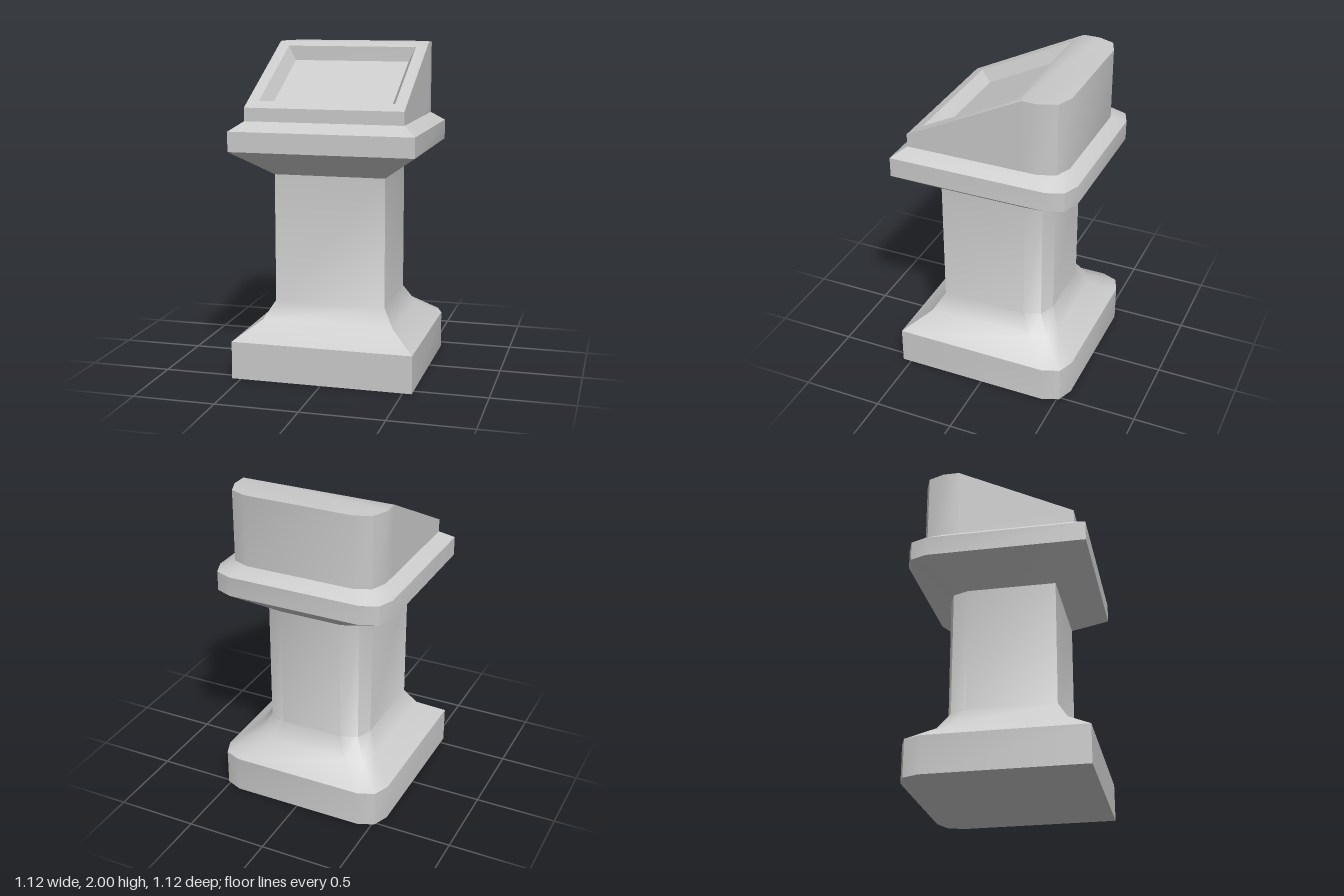
import * as THREE from 'three';
import { toCreasedNormals } from 'three/addons/utils/BufferGeometryUtils.js';

const material = new THREE.MeshStandardMaterial({ color: 0xcccccc });

// Square outline of half width h: sharp front corners, softened back corners
function outline(h, y) {
  const right = [[h, h], [h, -h + 0.14], [h - 0.04, -h + 0.04], [h - 0.14, -h]];
  const left = right.map(([x, z]) => [-x, z]).reverse();
  return [...right, ...left].map(([x, z]) => [x, y, z]);
}

// Rectangle across x, from its front edge to its back edge
function rect(x, yFront, zFront, yBack, zBack) {
  return [[x, yFront, zFront], [x, yBack, zBack], [-x, yBack, zBack], [-x, yFront, zFront]];
}

// Join successive loops with quads
function loft(loops) {
  const tris = [];
  for (let k = 0; k + 1 < loops.length; k++) {
    const a = loops[k], b = loops[k + 1];
    a.forEach((p, i) => {
      const j = (i + 1) % a.length;
      tris.push(p, a[j], b[j], p, b[j], b[i]);
    });
  }
  return tris;
}

// Fill a convex loop
function cap(loop) {
  const tris = [];
  for (let i = 1; i + 1 < loop.length; i++) tris.push(loop[0], loop[i], loop[i + 1]);
  return tris;
}

function part(name, tris) {
  const geometry = new THREE.BufferGeometry();
  geometry.setAttribute('position', new THREE.Float32BufferAttribute(tris.flat(), 3));
  const mesh = new THREE.Mesh(toCreasedNormals(geometry, THREE.MathUtils.degToRad(40)), material);
  mesh.name = name;
  return mesh;
}

const stack = (levels) => loft(levels.map(([h, y]) => outline(h, y)));

export function createModel() {
  const group = new THREE.Group();
  group.name = 'pedestalConsole';

  // Plinth, flared column and overhanging collar
  group.add(part('plinth', [
    ...cap(outline(0.555, 0).reverse()),
    ...stack([[0.555, 0], [0.555, 0.23]]),
  ]));
  group.add(part('column', stack([[0.555, 0.23], [0.405, 0.34], [0.34, 0.45], [0.34, 1.23]])));
  group.add(part('collar', stack([[0.34, 1.23], [0.558, 1.385], [0.558, 1.505], [0.48, 1.56]])));

  // Head walls, cut along the slope that ends at the ridge
  const h = 0.48, ridge = -0.24;
  const foot = outline(h, 1.56);
  foot.splice(1, 0, [h, 1.56, ridge]);
  foot.splice(8, 0, [-h, 1.56, ridge]);
  const top = foot.map(([x, , z]) => [x, Math.min(2, 1.64 + 0.5 * (h - z)), z]);

  // Flat top behind the ridge, sloped frame in front of it
  const rim = rect(0.41, 1.675, 0.41, 1.973, -0.186);
  const floor = rect(0.365, 1.621, 0.338, 1.883, -0.186);
  group.add(part('head', [
    ...loft([foot, top]),
    ...cap(top.slice(1, 9)),
    ...loft([rect(h, 1.64, h, 2, ridge), rim]),
  ]));

  // Sunken panel with tapered walls
  group.add(part('panelRecess', [...loft([rim, floor]), ...cap(floor)]));

  return group;
}
